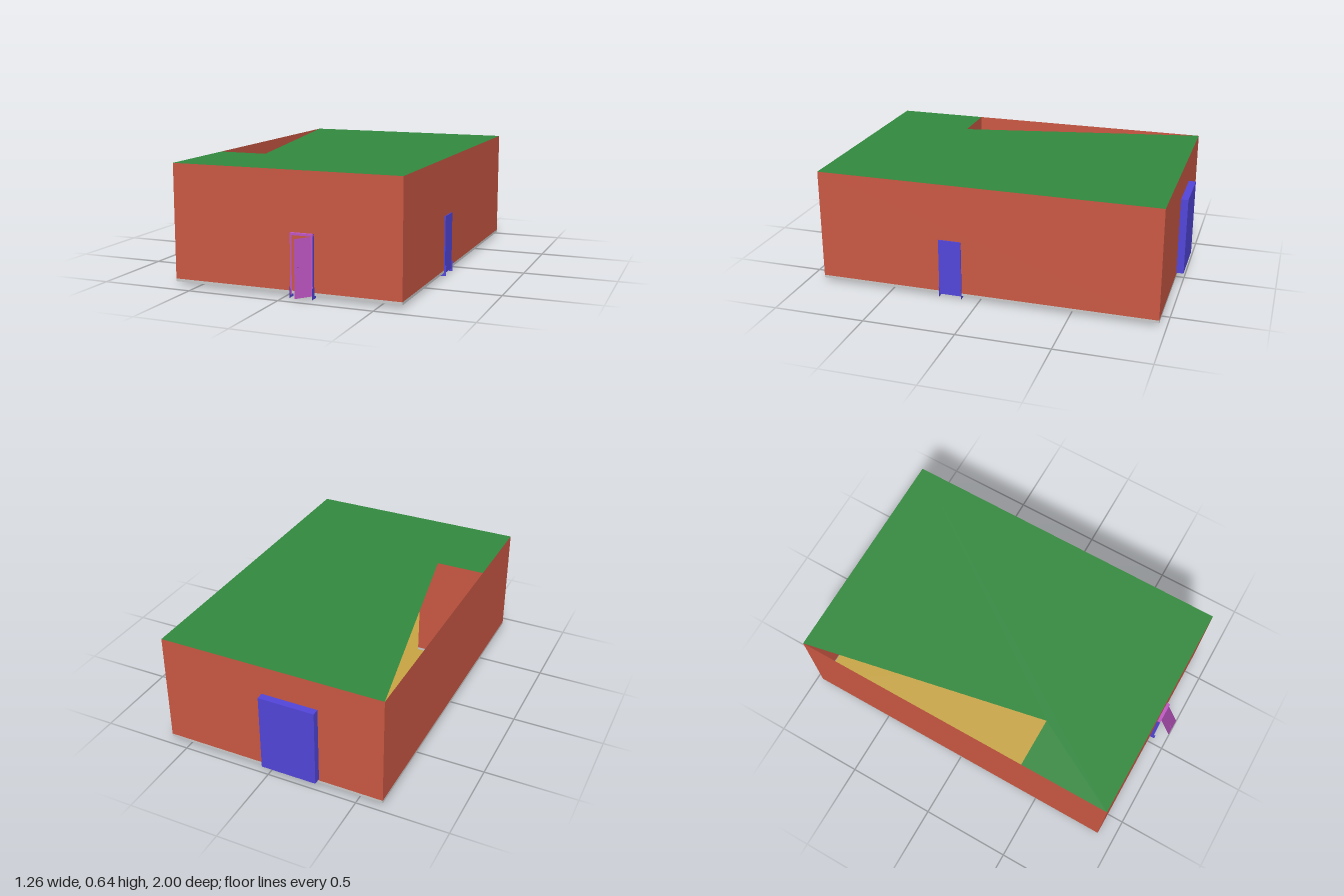
import * as THREE from 'three';

const X0 = -0.63, X1 = 0.614, Z0 = -0.96, Z1 = 0.907;   // outer footprint
const FLOOR = 0.018, SKIRT = 0.033, TOP = 0.64;
const PX = -0.257, PZ = 0.402;                          // inner room corner

const paint = (color) => new THREE.MeshStandardMaterial({ color, side: THREE.DoubleSide });
const red = paint(0xcc5944), green = paint(0x338a3f), yellow = paint(0xc8a544);
const blue = paint(0x5346dc), magenta = paint(0xbe56c4), grey = paint(0xcccccc);

export function createModel() {
  const model = new THREE.Group();

  const add = (name, geometry, material, parent = model) => {
    const mesh = new THREE.Mesh(geometry, material);
    mesh.name = name;
    parent.add(mesh);
    return mesh;
  };

  // Upright sheet between two plan points
  const sheet = (name, [ax, az], [bx, bz], y0, y1, material, parent) => {
    const m = add(name, new THREE.PlaneGeometry(Math.hypot(bx - ax, bz - az), y1 - y0), material, parent);
    m.position.set((ax + bx) / 2, (y0 + y1) / 2, (az + bz) / 2);
    m.rotation.y = -Math.atan2(bz - az, bx - ax);
    return m;
  };

  // Flat sheet from plan points
  const slab = (name, points, y, material) => {
    const shape = new THREE.Shape(points.map(([x, z]) => new THREE.Vector2(x, z)));
    add(name, new THREE.ShapeGeometry(shape).rotateX(Math.PI / 2), material).position.y = y;
  };

  const box = (name, x0, x1, y0, y1, z0, z1, material, parent) =>
    add(name, new THREE.BoxGeometry(x1 - x0, y1 - y0, z1 - z0), material, parent)
      .position.set((x0 + x1) / 2, (y0 + y1) / 2, (z0 + z1) / 2);

  // Floor, and roof with its wedge-shaped opening
  slab('floor', [[X0, Z0], [X1, Z0], [X1, Z1], [X0, Z1]], FLOOR, yellow);
  slab('roof', [[X0, Z0], [X1, Z0], [X1, Z1], [X0, Z1], [X0, PZ], [-0.357, PZ]], TOP, green);

  // Walls and skirting: outer shell plus the two partitions of the small room
  const runs = [
    ['frontWall', [X0, Z1], [X1, Z1]], ['backWall', [X0, Z0], [X1, Z0]],
    ['leftWall', [X1, Z0], [X1, Z1]], ['rightWall', [X0, Z0], [X0, Z1]],
    ['sidePartition', [PX, PZ], [PX, Z1]], ['crossPartition', [X0, PZ], [PX, PZ]],
  ];
  for (const [name, a, b] of runs) {
    sheet(name, a, b, SKIRT, TOP, red);
    sheet(name + 'Skirting', a, b, FLOOR, SKIRT, grey);
  }

  // Plain doors in walls that run along z, with a thin foot plate at each jamb
  const sideDoor = (name, x, z0, z1, footX) => {
    const door = new THREE.Group();
    door.name = name;
    model.add(door);
    box('panel', x, x + 0.006, FLOOR, 0.33, z0, z1, blue, door);
    for (const z of [z0, z1]) sheet('footPlate', [footX - 0.023, z], [footX + 0.023, z], 0.002, 0.06, blue, door);
  };
  sideDoor('leftDoor', X1, 0.1, 0.225, 0.604);
  sideDoor('innerDoorBack', PX, 0.53, 0.648, -0.258);
  sideDoor('innerDoorFront', PX, 0.65, 0.768, -0.258);

  // Front door: raised frame, inner panel and a leaf standing ajar
  const front = new THREE.Group();
  front.name = 'frontDoor';
  model.add(front);
  const fx0 = 0.033, fx1 = 0.155, fz = 0.925;
  box('innerPanel', fx0, fx1, FLOOR, 0.33, Z1 - 0.006, Z1 - 0.002, blue, front);
  for (const [x, inner] of [[fx0, fx0 + 0.009], [fx1, fx1 - 0.009]]) {
    sheet('jambSide', [x, Z1], [x, fz], FLOOR, 0.33, blue, front);
    sheet('jambFace', [x, fz], [inner, fz], FLOOR, 0.33, magenta, front);
    sheet('footPlate', [x, 0.889], [x, 0.934], 0.002, 0.06, blue, front);
  }
  box('lintel', fx0, fx1, 0.319, 0.33, Z1, fz, magenta, front);
  sheet('leaf', [0.15, 0.919], [0.09, 0.998], FLOOR, 0.317, magenta, front);
  const handle = add('handle', new THREE.ConeGeometry(0.005, 0.022, 4), magenta, front);
  handle.position.set(0.097, 0.174, 0.985);
  handle.rotation.z = -Math.PI / 2;

  // Large raised back door
  box('backDoor', -0.275, 0.036, 0.042, 0.478, -1, Z0, blue);

  return model;
}
